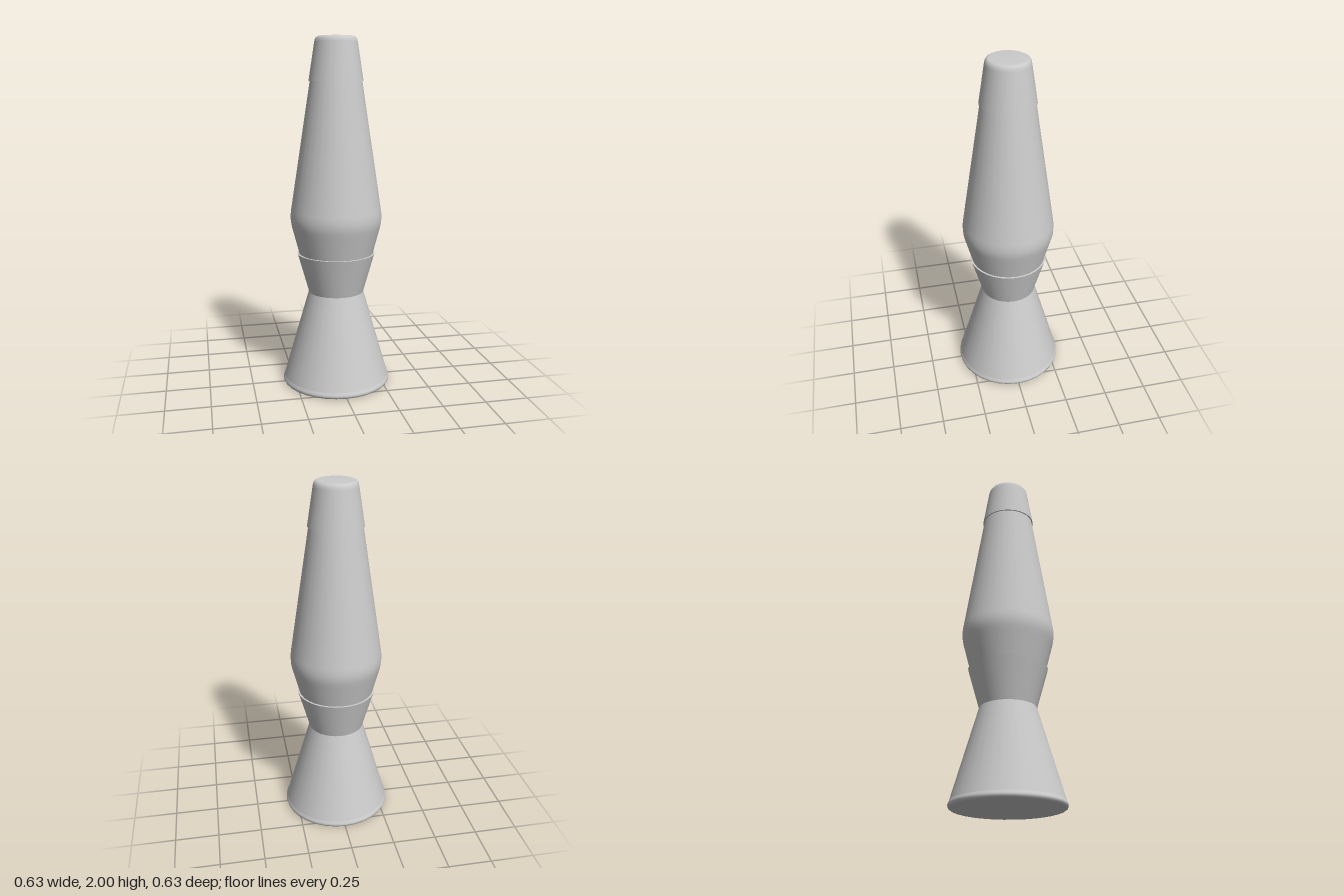
import * as THREE from 'three';

const SIDES = 32;
const material = new THREE.MeshStandardMaterial({ color: 0xcccccc });

// Each profile runs outward-facing (bottom to top); edges between profiles stay sharp.
function turnedPart(name, profiles) {
  const part = new THREE.Group();
  part.name = name;
  profiles.forEach((profile, i) => {
    const points = profile.map(([r, y]) => new THREE.Vector2(r, y));
    const mesh = new THREE.Mesh(new THREE.LatheGeometry(points, SIDES), material);
    mesh.name = `${name}Surface${i + 1}`;
    part.add(mesh);
  });
  return part;
}

export function createModel() {
  const model = new THREE.Group();
  model.name = 'lavaLamp';

  // Flared foot with a rolled lower edge
  model.add(turnedPart('foot', [
    [[0, 0], [0.305, 0]],
    [[0.305, 0], [0.312, 0.005], [0.315, 0.014], [0.314, 0.022], [0.307, 0.036]],
    [[0.307, 0.036], [0.16, 0.545]],
  ]));

  // Cup that holds the bottle, with a thin rim
  model.add(turnedPart('cup', [
    [[0.16, 0.545], [0.225, 0.775]],
    [[0.225, 0.775], [0.212, 0.776]],
  ]));

  // Tapered glass bottle with a soft shoulder
  model.add(turnedPart('bottle', [
    [[0.212, 0.765], [0.25, 0.909], [0.257, 0.935], [0.261, 0.957], [0.263, 0.98],
      [0.262, 1.005], [0.259, 1.03], [0.146, 1.765]],
  ]));

  // Cap with a slight overhang and a rounded top edge
  model.add(turnedPart('cap', [
    [[0.144, 1.757], [0.154, 1.757]],
    [[0.154, 1.757], [0.121, 1.968], [0.118, 1.983], [0.111, 1.994], [0.1, 2], [0, 2]],
  ]));

  return model;
}
